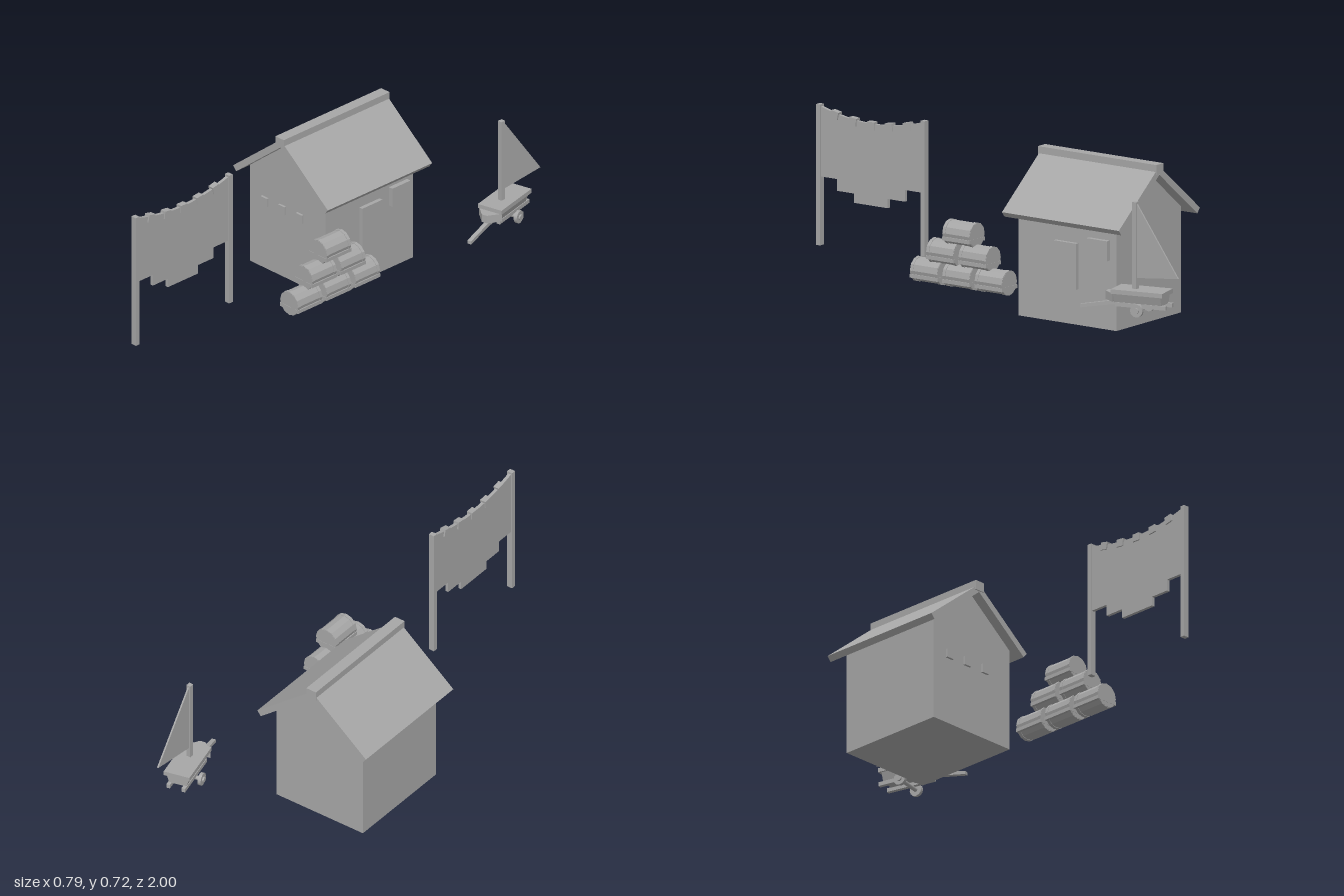
import * as THREE from 'three';

export function createModel() {
  const model = new THREE.Group();
  model.name = 'tradingPost';
  const grey = new THREE.MeshStandardMaterial({ color: 0xa6a6a6 });
  grey.name = 'plain grey';

  const add = (parent, name, geometry) => {
    const mesh = new THREE.Mesh(geometry, grey);
    mesh.name = name;
    parent.add(mesh);
    return mesh;
  };
  const group = (name, parent = model) => {
    const g = new THREE.Group();
    g.name = name;
    parent.add(g);
    return g;
  };
  // box given by its limits on each axis
  const box = (parent, name, x0, x1, y0, y1, z0, z1) => {
    const mesh = add(parent, name, new THREE.BoxGeometry(x1 - x0, y1 - y0, z1 - z0));
    mesh.position.set((x0 + x1) / 2, (y0 + y1) / 2, (z0 + z1) / 2);
    return mesh;
  };
  const extrude = (points, depth) => new THREE.ExtrudeGeometry(
    new THREE.Shape(points.map(([x, y]) => new THREE.Vector2(x, y))),
    { depth, bevelEnabled: false });
  // outline in x and y, from z0 to z1
  const prismZ = (parent, name, points, z0, z1) =>
    add(parent, name, extrude(points, z1 - z0).translate(0, 0, z0));
  // outline in z and y, from x0 to x1
  const prismX = (parent, name, points, x0, x1) =>
    add(parent, name, extrude(points, x1 - x0).rotateY(-Math.PI / 2).translate(x1, 0, 0));

  // House with gabled walls
  const house = group('house');
  const ridge = -0.129;
  prismZ(house, 'walls', [[-0.345, 0], [0.087, 0], [0.087, 0.434], [ridge, 0.606], [-0.345, 0.434]], -0.517, -0.03);
  for (const s of [-1, 1]) {
    const slab = [[0.254, 0.405], [0.271, 0.426], [0.017, 0.629], [0, 0.608]];
    prismZ(house, 'roofSlab', slab.map(([x, y]) => [ridge + s * x, y]), -0.57, 0.012);
  }
  box(house, 'ridgeCap', -0.153, -0.105, 0.612, 0.652, -0.573, 0.017);
  for (const x of [-0.258, -0.158, -0.057])
    box(house, 'frontWindow', x - 0.018, x + 0.018, 0.285, 0.322, -0.035, -0.02);
  box(house, 'door', 0.08, 0.104, 0.147, 0.335, -0.329, -0.217);
  box(house, 'sideWindow', 0.08, 0.107, 0.284, 0.366, -0.484, -0.382);

  // Hanging cloth between two posts
  const banner = group('banner');
  for (const z of [0.46, 0.98]) box(banner, 'post', 0.033, 0.058, 0.147, 0.723, z, z + 0.02);
  const sag = z => 0.676 + 0.042 * ((z - 0.73) / 0.26) ** 2;
  const cloth = [[0.475, 0.428], [0.562, 0.428], [0.562, 0.38], [0.648, 0.38], [0.648, 0.342],
    [0.815, 0.342], [0.815, 0.38], [0.9, 0.38], [0.9, 0.428], [0.985, 0.428]];
  for (let i = 0; i <= 16; i++) {
    const z = 0.985 - 0.51 * i / 16;
    cloth.push([z, sag(z)]);
  }
  prismX(banner, 'cloth', cloth, 0.038, 0.052);
  for (let i = -2; i <= 2; i++) {
    const z = 0.73 + i * 0.09;
    const tab = add(banner, 'clothTab', new THREE.BoxGeometry(0.026, 0.032, 0.035));
    tab.position.set(0.045, sag(z) - 0.007, z);
    tab.rotation.x = -Math.atan(0.084 * (z - 0.73) / 0.26 ** 2);
  }

  // Stack of barrels lying along z
  const stack = group('barrelStack');
  const drum = (r, length) => {
    const g = new THREE.CylinderGeometry(r, r, length, 12).rotateX(Math.PI / 2);
    const flat = g.toNonIndexed();
    flat.computeVertexNormals();
    return flat;
  };
  for (let row = 0; row < 3; row++) {
    for (let i = 0; i < 3 - row; i++) {
      const barrel = group('barrel', stack);
      barrel.position.set(0.261, 0.174 + row * 0.087, 0.115 + (i - (2 - row) / 2) * 0.161);
      add(barrel, 'barrelBody', drum(0.05, 0.136));
      for (const z of [-0.06, 0.06]) add(barrel, 'hoop', drum(0.052, 0.014)).position.z = z;
      box(barrel, 'sideBoard', -0.051, 0.051, -0.029, -0.014, -0.069, 0.069);
    }
  }

  // Two-wheeled cart, turned a little
  const cart = group('cart');
  cart.position.set(0.31, 0, -0.81);
  cart.rotation.y = 0.236;
  box(cart, 'deckRim', -0.056, 0.056, 0.233, 0.251, -0.112, 0.112);
  prismZ(cart, 'tub', [[-0.037, 0.195], [0.037, 0.195], [0.05, 0.234], [-0.05, 0.234]], -0.1, 0.105);
  const nose = extrude([[-0.054, -0.105], [0.054, -0.105], [0.012, -0.152], [-0.012, -0.152]], 0.034);
  add(cart, 'nose', nose.rotateX(-Math.PI / 2).translate(0, 0.2, 0));
  for (const x of [-0.033, 0.033]) box(cart, 'runner', x - 0.008, x + 0.008, 0.18, 0.197, -0.12, 0.1);
  prismX(cart, 'drawbar', [[0.02, 0.18], [0.13, 0.178], [0.265, 0.154], [0.265, 0.168], [0.13, 0.194], [0.02, 0.196]], -0.009, 0.009);
  const wheelPart = (name, r, length, x) => {
    const mesh = add(cart, name, new THREE.CylinderGeometry(r, r, length, 12).rotateZ(Math.PI / 2));
    mesh.position.set(x, 0.175, -0.005);
  };
  wheelPart('axle', 0.009, 0.15, 0);
  for (const s of [-1, 1]) {
    wheelPart('wheel', 0.027, 0.014, s * 0.063);
    wheelPart('hub', 0.012, 0.008, s * 0.073);
  }

  // Mast and triangular sail
  const rig = group('rig');
  box(rig, 'mast', 0.309, 0.328, 0.24, 0.605, -0.794, -0.774);
  prismX(rig, 'sail', [[-0.79, 0.295], [-0.998, 0.318], [-0.79, 0.602]], 0.315, 0.322);
  return model;
}
